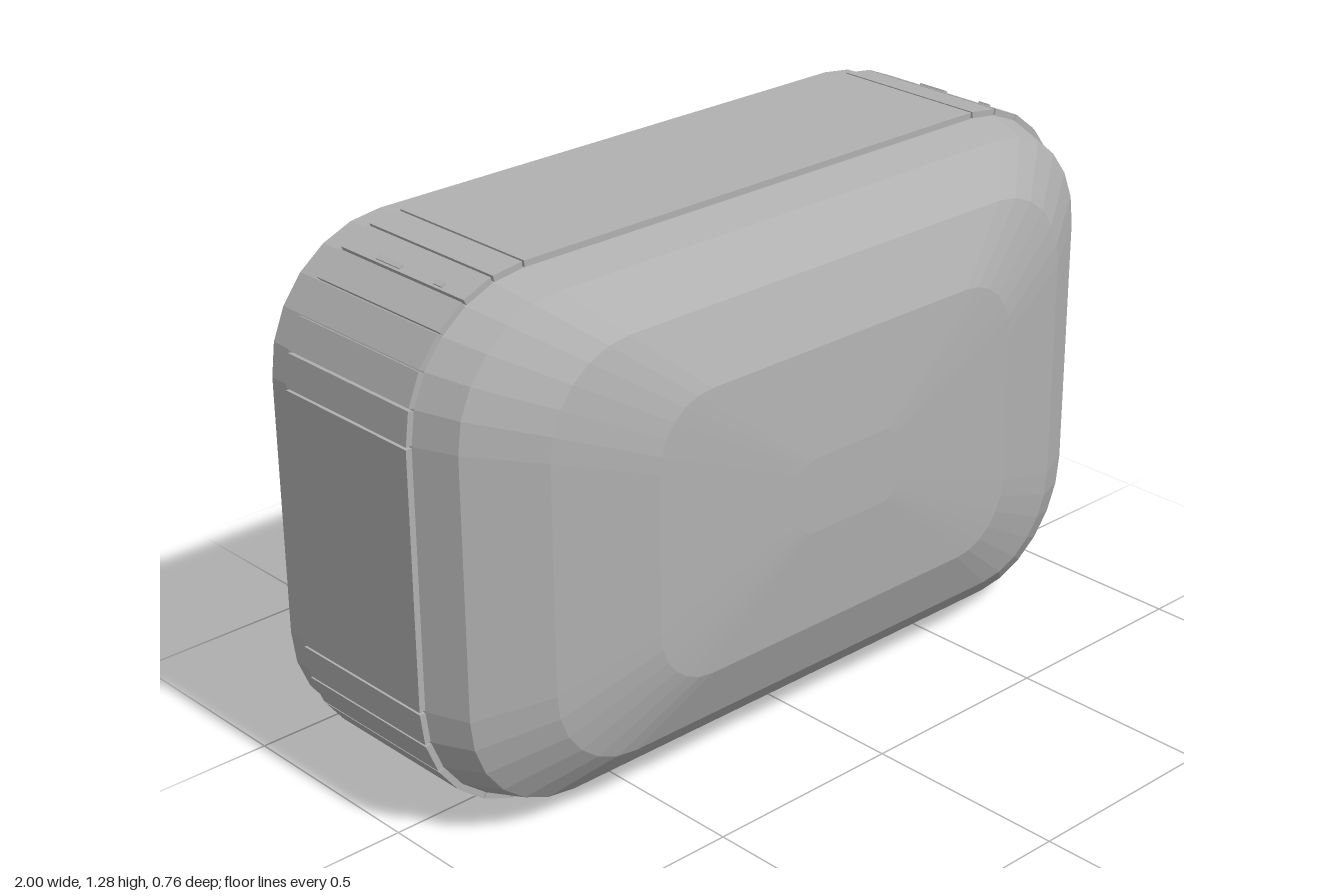
import * as THREE from 'three';

const CY = 0.649; // height of the housing centre

// Rounded rectangle, counter-clockwise, six segments per corner
function roundedRect(w, h, r) {
  const pts = [];
  [[1, 1], [-1, 1], [-1, -1], [1, -1]].forEach(([sx, sy], c) => {
    for (let i = 0; i <= 6; i++) {
      const a = (c + i / 6) * Math.PI / 2;
      pts.push(new THREE.Vector2(sx * (w - r) + r * Math.cos(a), sy * (h - r) + r * Math.sin(a)));
    }
  });
  return pts;
}

// Closed skin through rounded rectangles [z, halfWidth, halfHeight, radius], back to front
function loft(sections) {
  const rings = sections.map(([z, w, h, r]) =>
    roundedRect(w, h, r).map(p => new THREE.Vector3(p.x, p.y + CY, z)));
  const pos = [];
  const tri = (...v) => v.forEach(p => pos.push(p.x, p.y, p.z));
  const n = rings[0].length;
  const first = rings[0], last = rings[rings.length - 1];
  const back = new THREE.Vector3(0, CY, sections[0][0]);
  const front = new THREE.Vector3(0, CY, sections[sections.length - 1][0]);
  for (let k = 0; k < n; k++) {
    const m = (k + 1) % n;
    for (let i = 0; i < rings.length - 1; i++) {
      const a = rings[i], b = rings[i + 1];
      tri(a[k], a[m], b[m]);
      tri(a[k], b[m], b[k]);
    }
    tri(back, first[m], first[k]);
    tri(front, last[k], last[m]);
  }
  const g = new THREE.BufferGeometry();
  g.setAttribute('position', new THREE.Float32BufferAttribute(pos, 3));
  g.computeVertexNormals();
  return g;
}

export function createModel() {
  const model = new THREE.Group();
  model.name = 'housing';
  const grey = new THREE.MeshStandardMaterial({ color: 0xb0b0b0 });
  grey.name = 'grey';

  const add = (name, geometry, x = 0, y = 0, z = 0) => {
    const mesh = new THREE.Mesh(geometry, grey);
    mesh.name = name;
    mesh.position.set(x, y, z);
    model.add(mesh);
    return mesh;
  };
  const box = (name, x0, x1, y0, y1, z0, z1) =>
    add(name, new THREE.BoxGeometry(x1 - x0, y1 - y0, z1 - z0),
      (x0 + x1) / 2, (y0 + y1) / 2, (z0 + z1) / 2);

  // Domed front and flat back
  add('frontDome', loft([
    [0.08, 0.985, 0.614, 0.305],
    [0.1, 0.985, 0.614, 0.305],
    [0.2, 0.945, 0.59, 0.28],
    [0.295, 0.785, 0.492, 0.22],
    [0.358, 0.545, 0.34, 0.15],
    [0.38, 0.15, 0.09, 0.04],
  ]));
  add('backPlate', loft([[-0.38, 0.985, 0.614, 0.305], [-0.29, 0.985, 0.614, 0.305]]));

  // Middle of the body with a socket notched into the underside
  const inner = roundedRect(0.985, 0.614, 0.305);
  const outline = inner.slice();
  outline.splice(21, 0, ...[[-0.17, -0.614], [-0.17, -0.45], [0.17, -0.45], [0.17, -0.614]]
    .map(([x, y]) => new THREE.Vector2(x, y)));
  add('body', new THREE.ExtrudeGeometry(new THREE.Shape(outline),
    { depth: 0.37, bevelEnabled: false }), 0, CY, -0.29);

  // Band of separate plates around the body, with narrow gaps
  const outer = roundedRect(1, 0.629, 0.32);
  const gap = 0.003;
  for (let k = 0; k < outer.length; k++) {
    if (k === 20) continue; // underside is built around the socket
    const m = (k + 1) % outer.length;
    const t = gap / outer[k].distanceTo(outer[m]);
    const plate = new THREE.Shape([
      inner[k].clone().lerp(inner[m], t), outer[k].clone().lerp(outer[m], t),
      outer[k].clone().lerp(outer[m], 1 - t), inner[k].clone().lerp(inner[m], 1 - t),
    ]);
    add('bandPlate', new THREE.ExtrudeGeometry(plate,
      { depth: 0.41, bevelEnabled: false }), 0, CY, -0.31);
  }
  for (const s of [-1, 1]) {
    const [a, b] = s > 0 ? [0.17, 0.677] : [-0.677, -0.17];
    box('bottomBandPlate', a, b, 0.02, 0.036, -0.31, 0.1);
  }
  box('socketFrontRim', -0.17, 0.17, 0.02, 0.036, 0.08, 0.1);
  box('socketBackRim', -0.17, 0.17, 0.02, 0.036, -0.31, -0.29);

  // Connector inside the socket
  box('connectorBlock', -0.11, 0.11, 0.09, 0.2, -0.02, 0.08);
  const pin = add('connectorPin', new THREE.CylinderGeometry(0.025, 0.025, 0.1, 12), 0.12, 0.12, -0.05);
  pin.rotation.x = Math.PI / 2;

  // Small knob and bump beside the socket
  add('knob', new THREE.CylinderGeometry(0.01, 0.01, 0.025, 10), 0.205, 0.0165, -0.145);
  box('knobCap', 0.193, 0.217, 0.004, 0.012, -0.165, -0.125);
  box('knobFoot', 0.197, 0.213, 0, 0.006, -0.155, -0.135);
  box('bump', 0.15, 0.17, 0.014, 0.022, 0.055, 0.08);

  // Slim keys on the upper corners
  for (const s of [-1, 1]) {
    for (const [z, length] of [[-0.155, 0.08], [0.01, 0.028]]) {
      const key = add('cornerKey', new THREE.BoxGeometry(0.012, 0.008, length), s * 0.826, 1.241, z);
      key.rotation.z = -s * Math.PI / 6;
    }
  }
  return model;
}
